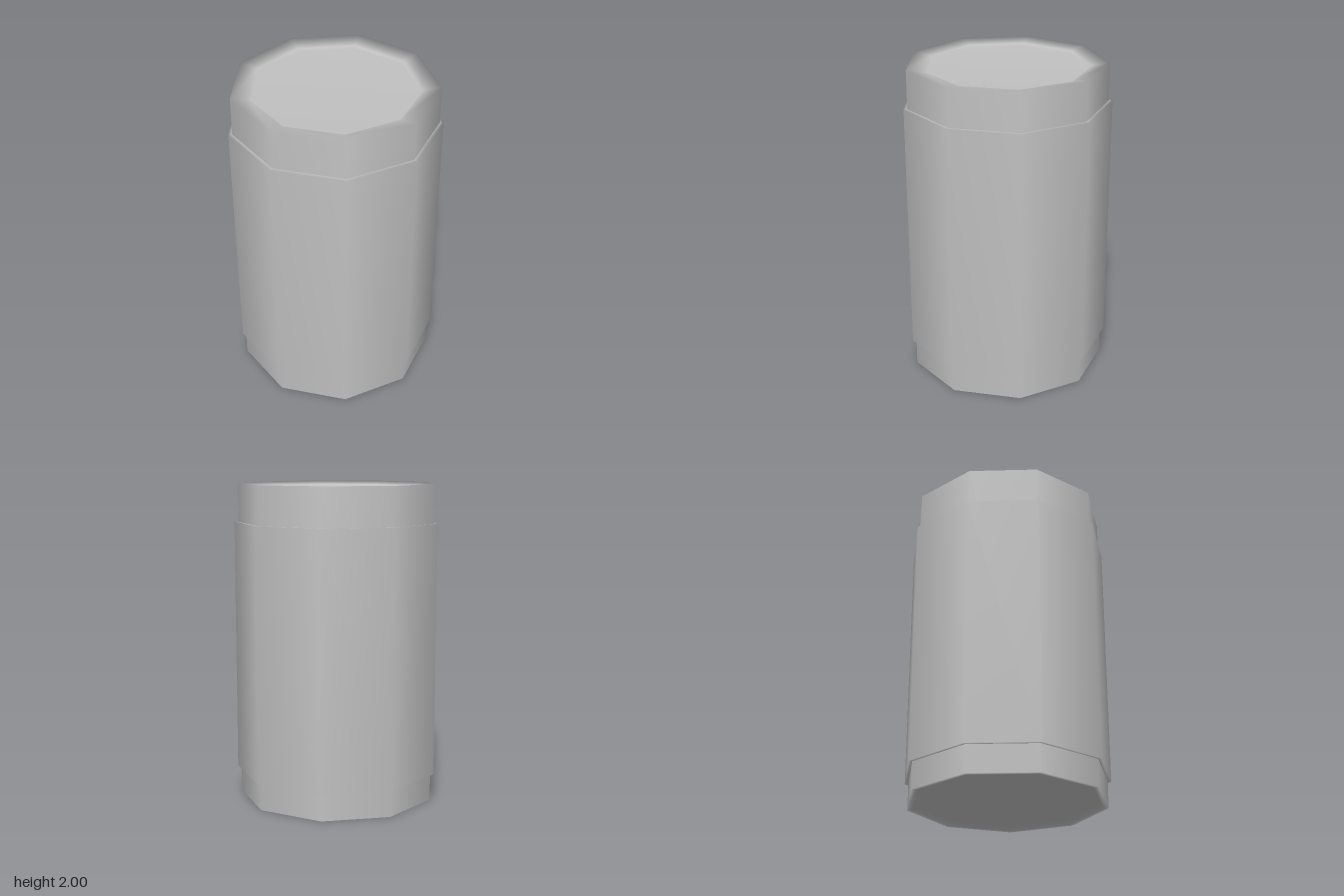
import * as THREE from 'three';

const SIDES = 9;

// Nine-sided turned part with one corner pointing to the back
function turned(name, profile, material) {
  const points = profile.map(([r, y]) => new THREE.Vector2(r, y));
  const mesh = new THREE.Mesh(new THREE.LatheGeometry(points, SIDES, Math.PI), material);
  mesh.name = name;
  return mesh;
}

export function createModel() {
  const group = new THREE.Group();
  group.name = 'can';
  const metal = new THREE.MeshStandardMaterial({ color: 0xc0c0c0 });
  metal.name = 'grey metal';

  // Body: shallow base, straight wall, gently sloping rim and slightly sunken lid
  const body = turned('body', [
    [0, 0.03], [0.58, 0.03], [0.595, 0],
    [0.625, 0], [0.625, 2],
    [0.515, 1.98], [0.51, 1.96], [0, 1.96],
  ], metal);

  // Slightly wider sleeve wrapped around the body
  const sleeve = turned('sleeve', [
    [0.62, 0.17], [0.648, 0.17], [0.648, 1.76], [0.62, 1.76],
  ], metal);

  group.add(body, sleeve);
  // Centre the odd-sided outline on z
  group.children.forEach((part) => { part.position.z = 0.02; });
  return group;
}
